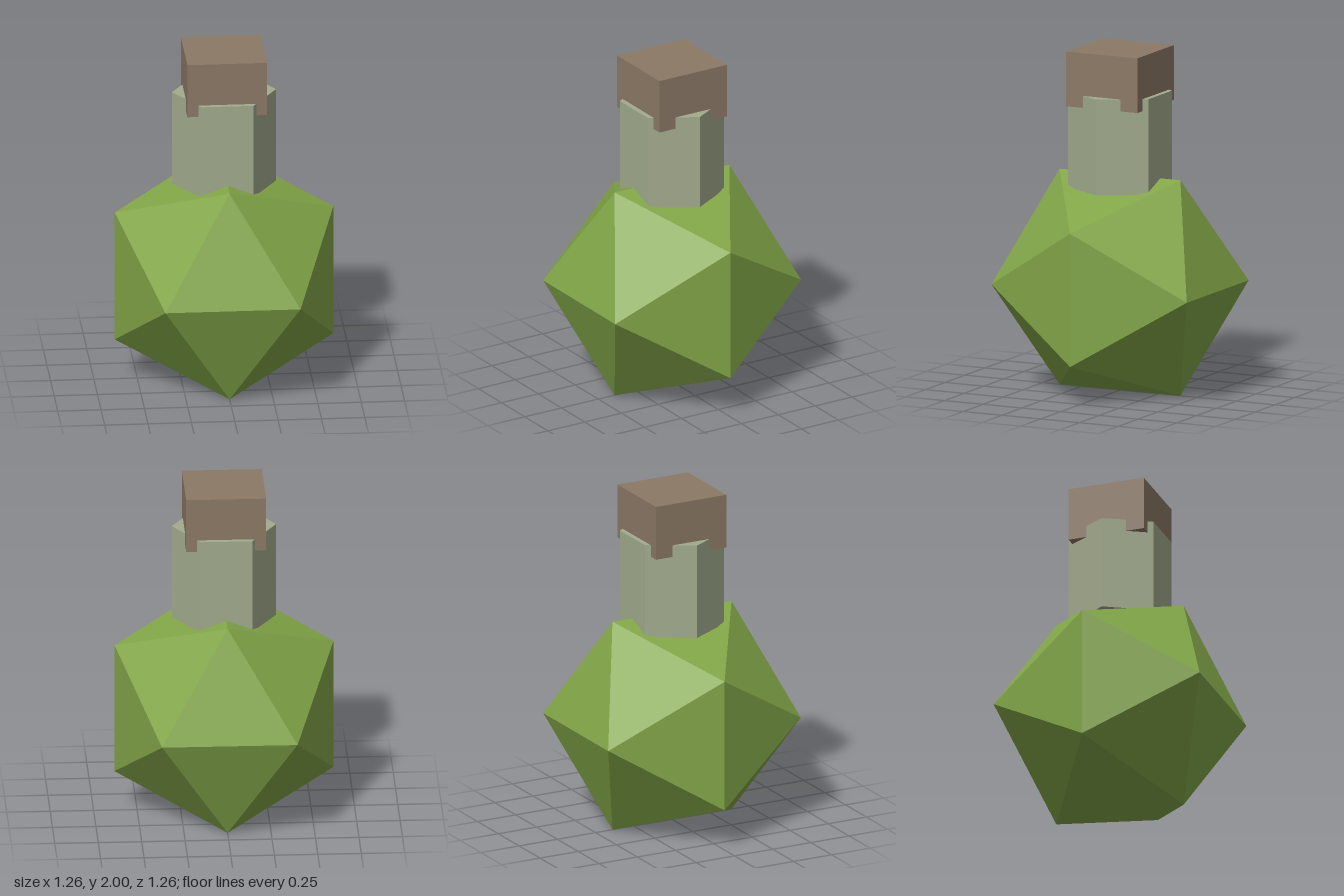
import * as THREE from 'three';

function makeMaterial(name, color) {
  const material = new THREE.MeshStandardMaterial({ color, flatShading: true });
  material.name = name;
  return material;
}

export function createModel() {
  const model = new THREE.Group();
  model.name = 'bottle';

  const addPart = (name, geometry, material, y) => {
    const mesh = new THREE.Mesh(geometry, material);
    mesh.name = name;
    mesh.position.y = y;
    model.add(mesh);
  };

  // Faceted round body, turned so an edge lies along the top and the bottom
  const bodyGeometry = new THREE.IcosahedronGeometry(0.741, 0).rotateZ(Math.PI / 2);
  addPart('body', bodyGeometry, makeMaterial('green glass', 0x82a648), 0.632);

  // Six-sided neck with corners pointing to the sides
  const neckGeometry = new THREE.CylinderGeometry(0.3, 0.3, 0.56, 6).rotateY(Math.PI / 6);
  addPart('neck', neckGeometry, makeMaterial('pale grey green', 0xa2ab8d), 1.47);

  // Square stopper pushed into the neck
  const stopperGeometry = new THREE.BoxGeometry(0.46, 0.32, 0.46);
  addPart('stopper', stopperGeometry, makeMaterial('brown cork', 0x8c7966), 1.84);

  return model;
}
